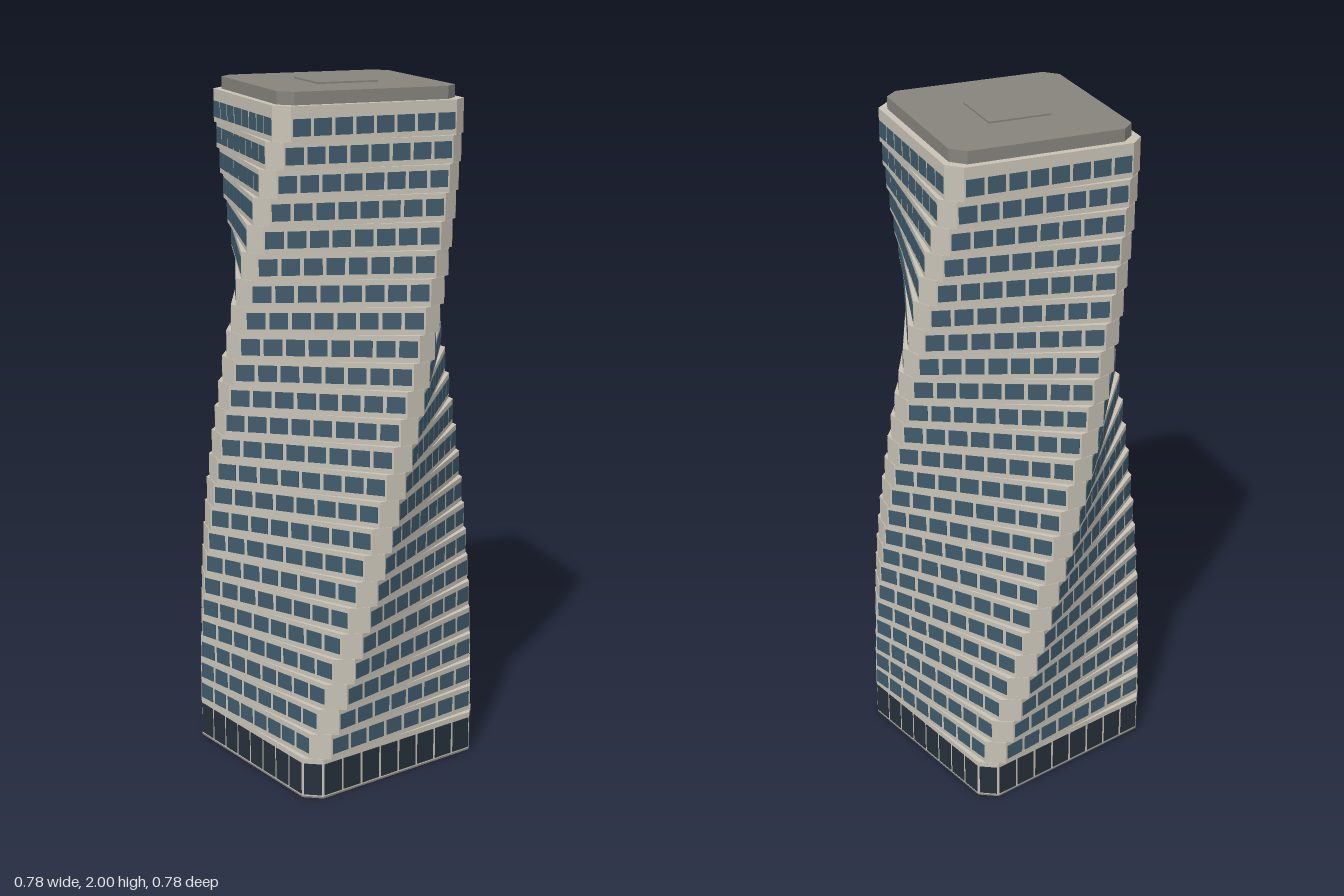
import * as THREE from 'three';
import { mergeGeometries } from 'three/addons/utils/BufferGeometryUtils.js';

const HX = 0.307, HZ = 0.315, CUT = 0.043;   // half plan and corner chamfer
const FLOORS = 24, BASE_H = 0.122, FLOOR_H = 0.0758;
const TWIST = THREE.MathUtils.degToRad(75), TAPER = 0.093;

const material = (name, color) => Object.assign(new THREE.MeshStandardMaterial({ color }), { name });

// Chamfered rectangular block standing on y = 0
function block(hx, hz, c, height) {
  const shape = new THREE.Shape([
    [hx - c, -hz], [hx, -hz + c], [hx, hz - c], [hx - c, hz],
    [-hx + c, hz], [-hx, hz - c], [-hx, -hz + c], [-hx + c, -hz],
  ].map(([x, y]) => new THREE.Vector2(x, y)));
  return new THREE.ExtrudeGeometry(shape, { depth: height, bevelEnabled: false }).rotateX(-Math.PI / 2);
}

// Thin glass plates, evenly spaced along all four sides
function glassRow(hx, hz, c, y, height, fill, count = 8) {
  const plates = [];
  for (let side = 0; side < 4; side++) {
    const [half, dist] = side % 2 ? [hz - c, hx] : [hx - c, hz];
    const pitch = 2 * half / count;
    for (let i = 0; i < count; i++) {
      plates.push(new THREE.BoxGeometry(pitch * fill, height, 0.004)
        .translate(-half + pitch * (i + 0.5), y, dist)
        .rotateY(side * Math.PI / 2));
    }
  }
  return plates;
}

export function createModel() {
  const concrete = material('pale concrete', 0xc8c2b5);
  const glass = material('blue window glass', 0x3f5a6b);
  const darkGlass = material('dark lobby glass', 0x26303a);
  const grey = material('roof grey', 0x85837c);

  const tower = new THREE.Group();
  tower.name = 'twistingTower';
  const add = (parent, name, geometry, mat, y = 0) => {
    const mesh = new THREE.Mesh(geometry, mat);
    mesh.name = name;
    mesh.position.y = y;
    parent.add(mesh);
    return mesh;
  };

  // Ground floor with tall lobby panes, including one on each chamfer
  add(tower, 'foundationPlate', block(HX, HZ, CUT, 0.005), grey);
  add(tower, 'groundFloor', block(HX, HZ, CUT, BASE_H - 0.005), concrete, 0.005);
  const panes = glassRow(HX, HZ, CUT, 0.058, 0.096, 0.88);
  for (const sx of [-1, 1]) for (const sz of [-1, 1]) {
    panes.push(new THREE.BoxGeometry(CUT * 1.2, 0.096, 0.004)
      .rotateY(Math.atan2(sx, sz))
      .translate(sx * (HX - CUT / 2), 0.058, sz * (HZ - CUT / 2)));
  }
  add(tower, 'lobbyGlass', mergeGeometries(panes), darkGlass);

  // Upper floors, each turned a little further and slightly smaller
  for (let k = 1; k <= FLOORS; k++) {
    const s = 1 - TAPER * k / FLOORS;
    const floor = new THREE.Group();
    floor.name = `floor${k}`;
    floor.position.y = BASE_H + (k - 1) * FLOOR_H;
    floor.rotation.y = TWIST * k / FLOORS;
    tower.add(floor);
    const height = k === FLOORS ? 1.96 - floor.position.y : FLOOR_H;
    add(floor, 'floorWall', block(HX * s, HZ * s, CUT * s, height), concrete);
    add(floor, 'windows', mergeGeometries(glassRow(HX * s, HZ * s, CUT * s, FLOOR_H / 2, 0.046, 0.83)), glass);
  }

  // Set-back roof and hatch
  const roof = new THREE.Group();
  roof.name = 'roof';
  roof.position.y = 1.96;
  roof.rotation.y = TWIST;
  tower.add(roof);
  add(roof, 'roofCap', block(0.259, 0.266, 0.037, 0.035), grey);
  add(roof, 'roofHatch', new THREE.BoxGeometry(0.18, 0.01, 0.18), grey, 0.035);

  return tower;
}
